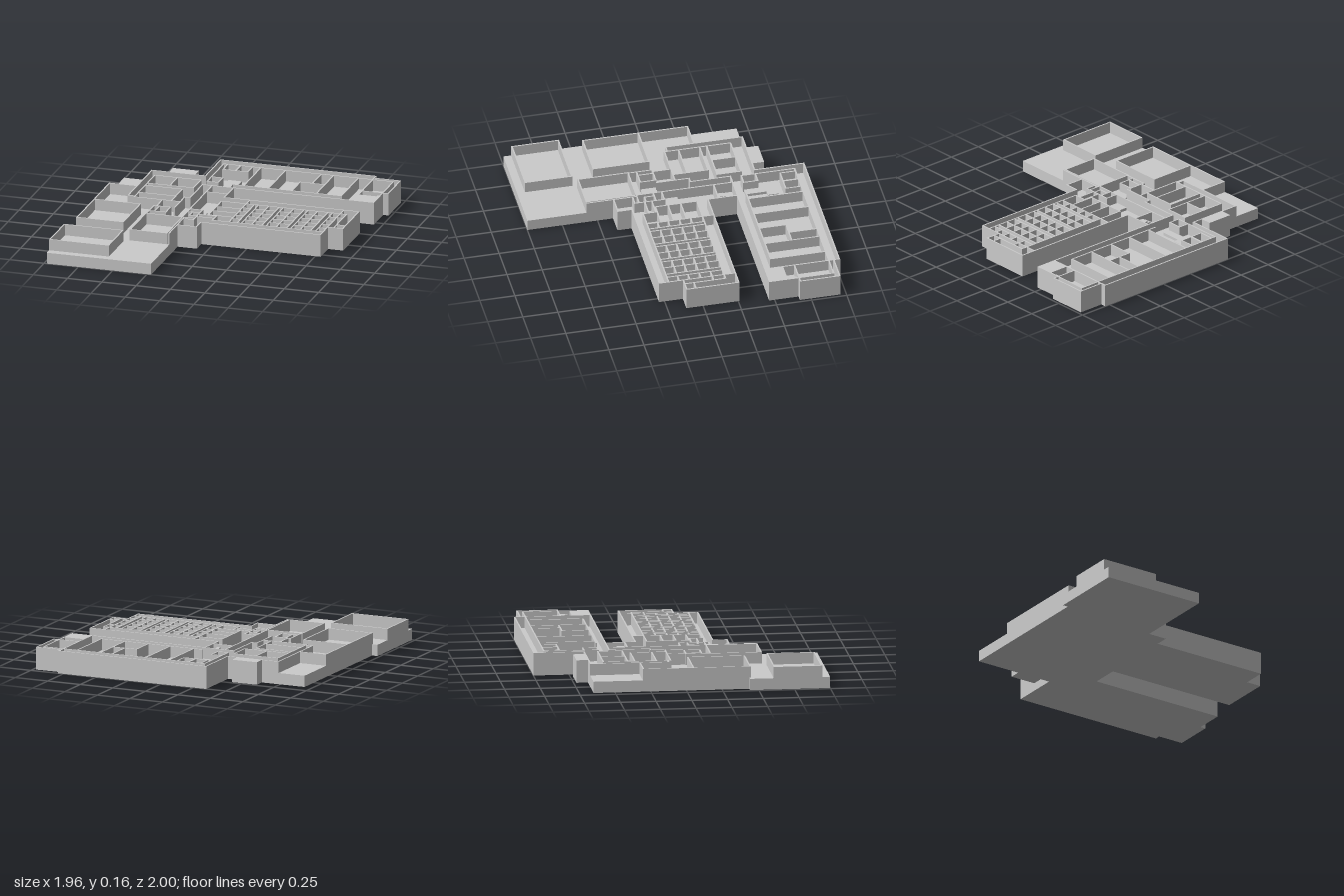
import * as THREE from 'three';

const FLOOR = 0.08, TOP = 0.16, T = 0.01;
const mat = new THREE.MeshStandardMaterial({ color: 0xcccccc, flatShading: true });

// Box from corner to corner in plan, between two heights
function block(parent, name, x1, z1, x2, z2, y1 = FLOOR, y2 = TOP) {
  const mesh = new THREE.Mesh(new THREE.BoxGeometry(Math.abs(x2 - x1), y2 - y1, Math.abs(z2 - z1)), mat);
  mesh.position.set((x1 + x2) / 2, (y1 + y2) / 2, (z1 + z2) / 2);
  mesh.name = name;
  parent.add(mesh);
}

// Thin wall along a centre line
function wall(parent, x1, z1, x2, z2) {
  const h = T / 2;
  block(parent, 'wall', Math.min(x1, x2) - h, Math.min(z1, z2) - h, Math.max(x1, x2) + h, Math.max(z1, z2) + h);
}

// Run of walls through a list of corners
function walls(parent, ...points) {
  for (let i = 1; i < points.length; i++) wall(parent, ...points[i - 1], ...points[i]);
}

function room(parent, x1, z1, x2, z2) {
  walls(parent, [x1, z1], [x2, z1], [x2, z2], [x1, z2], [x1, z1]);
}

// Steps rising along x
function stairs(parent, x1, z1, x2, z2, n = 4) {
  const w = (x2 - x1) / n;
  for (let i = 0; i < n; i++)
    block(parent, 'step', x1 + i * w, z1, x1 + (i + 1) * w, z2, FLOOR, FLOOR + (i + 1) * 0.06 / n);
}

function section(root, name) {
  const g = new THREE.Group();
  g.name = name;
  root.add(g);
  return g;
}

export function createModel() {
  const root = new THREE.Group();
  root.name = 'buildingPlan';

  // Ground slab
  const outline = [
    [-0.35, -1], [0.79, -1], [0.79, -0.96], [0.98, -0.96], [0.98, -0.67], [0.94, -0.67], [0.94, -0.46],
    [-0.08, -0.46], [-0.08, -0.26], [0.9, -0.26], [0.9, 0.12], [0.79, 0.12], [0.79, 0.29], [-0.08, 0.29],
    [-0.08, 0.39], [-0.22, 0.39], [-0.22, 1], [-0.98, 1], [-0.98, 0.44], [-0.94, 0.44], [-0.94, -0.65], [-0.35, -0.65],
  ];
  const shape = new THREE.Shape(outline.map(([x, z]) => new THREE.Vector2(x, -z)));
  const slab = new THREE.Mesh(new THREE.ExtrudeGeometry(shape, { depth: FLOOR, bevelEnabled: false }), mat);
  slab.rotation.x = -Math.PI / 2;
  slab.name = 'groundSlab';
  root.add(slab);

  // Solid blocks
  block(root, 'backBlock', -0.61, -0.73, -0.42, -0.65, 0);
  block(root, 'northEndBlock', 0.79, -0.59, 0.94, -0.46);

  // North wing: outer shell, end annex, inner rooms
  const north = section(root, 'northWing');
  walls(north, [-0.345, -0.65], [-0.345, -0.995], [0.785, -0.995], [0.785, -0.465]);
  walls(north, [-0.31, -0.465], [0.785, -0.465]);
  walls(north, [0.785, -0.955], [0.975, -0.955], [0.975, -0.675], [0.785, -0.675]);
  walls(north, [0.935, -0.92], [0.935, -0.59], [0.79, -0.59]);
  walls(north, [-0.3, -0.54], [-0.3, -0.92], [0.935, -0.92]);
  wall(north, -0.09, -0.53, 0.68, -0.53);
  for (const x of [-0.03, 0.15, 0.5, 0.68]) wall(north, x, -0.92, x, -0.53);
  walls(north, [0.32, -0.53], [0.32, -0.72], [0.5, -0.72]);
  wall(north, 0.41, -0.92, 0.41, -0.72);
  room(north, -0.27, -0.92, -0.18, -0.81);
  room(north, -0.175, -0.92, -0.09, -0.81);
  walls(north, [-0.3, -0.64], [-0.22, -0.64], [-0.22, -0.54], [-0.3, -0.54]);
  block(north, 'counter', -0.22, -0.77, -0.12, -0.69, FLOOR, 0.1);
  block(north, 'counter', -0.22, -0.69, -0.16, -0.54, FLOOR, 0.1);
  stairs(north, 0.83, -0.67, 0.92, -0.61);

  // Central rooms
  const centre = section(root, 'centralRooms');
  walls(centre, [-0.345, -0.645], [-0.735, -0.645], [-0.735, -0.1], [-0.685, -0.1]);
  room(centre, -0.685, -0.55, -0.35, -0.38);
  wall(centre, -0.52, -0.55, -0.52, -0.38);
  room(centre, -0.685, -0.33, -0.415, -0.08);
  wall(centre, -0.685, -0.18, -0.415, -0.18);
  wall(centre, -0.685, -0.38, -0.685, -0.33);
  walls(centre, [-0.31, -0.465], [-0.31, -0.18], [-0.35, -0.18], [-0.35, 0.05]);
  wall(centre, -0.415, -0.08, -0.35, -0.08);
  wall(centre, -0.48, -0.08, -0.48, 0.05);
  room(centre, -0.5, 0.05, -0.38, 0.16);
  wall(centre, -0.46, 0.05, -0.46, 0.16);
  block(centre, 'counter', -0.38, 0.05, -0.32, 0.16, FLOOR, 0.1);
  wall(centre, -0.5, 0.16, -0.5, 0.22);
  wall(centre, -0.24, -0.33, -0.24, 0.22);
  walls(centre, [-0.24, -0.33], [-0.24, -0.46]);
  walls(centre, [-0.24, -0.33], [-0.085, -0.33]);
  wall(centre, -0.085, -0.46, -0.085, -0.26);
  stairs(centre, -0.22, -0.39, -0.12, -0.34);
  block(centre, 'counter', -0.24, -0.07, -0.15, 0.03, FLOOR, 0.1);
  room(centre, -0.24, 0.04, -0.15, 0.1);
  room(centre, -0.205, 0.1, -0.15, 0.17);
  wall(centre, -0.5, 0.22, -0.15, 0.22);

  // Walled yards
  const yards = section(root, 'walledYards');
  room(yards, -0.505, 0.22, -0.24, 0.575);
  wall(yards, -0.225, 0.22, -0.225, 0.575);
  walls(yards, [-0.735, -0.3], [-0.935, -0.3], [-0.935, 0.05]);
  room(yards, -0.935, 0.05, -0.6, 0.445);
  room(yards, -0.975, 0.61, -0.55, 0.94);

  // South wing: outer shell and left rooms
  const south = section(root, 'southWing');
  walls(south, [-0.085, -0.255], [0.895, -0.255], [0.895, 0.115], [0.785, 0.115]);
  walls(south, [0.785, -0.255], [0.785, 0.285], [-0.085, 0.285], [-0.085, 0.385], [-0.225, 0.385], [-0.225, 0.22]);
  walls(south, [-0.08, 0.12], [-0.08, -0.175], [0.83, -0.175], [0.83, 0.115]);
  for (const z of [-0.06, 0.03, 0.12]) wall(south, -0.08, z, 0.1, z);
  wall(south, 0.1, -0.255, 0.1, 0.22);
  walls(south, [-0.22, 0.25], [-0.15, 0.25], [-0.15, 0.13], [-0.02, 0.13]);
  walls(south, [-0.15, 0.18], [-0.02, 0.18], [-0.02, 0.22], [0.785, 0.22]);
  wall(south, -0.02, 0.13, -0.02, 0.18);
  wall(south, 0.785, -0.09, 0.83, -0.09);
  wall(south, 0.83, 0.05, 0.895, 0.05);
  block(south, 'counter', 0.86, -0.11, 0.89, 0, FLOOR, 0.1);

  // Rows of cells, with aisles between the column pairs
  const cells = section(root, 'cells');
  const columns = [[0.1, 0.16], [0.19, 0.265, 0.34], [0.37, 0.445, 0.52], [0.55, 0.62, 0.695], [0.73, 0.785]];
  for (const xs of columns) {
    for (const x of xs) wall(cells, x, -0.175, x, 0.22);
    for (const z of [-0.09, -0.01, 0.07, 0.145]) wall(cells, xs[0], z, xs[xs.length - 1], z);
  }
  return root;
}
